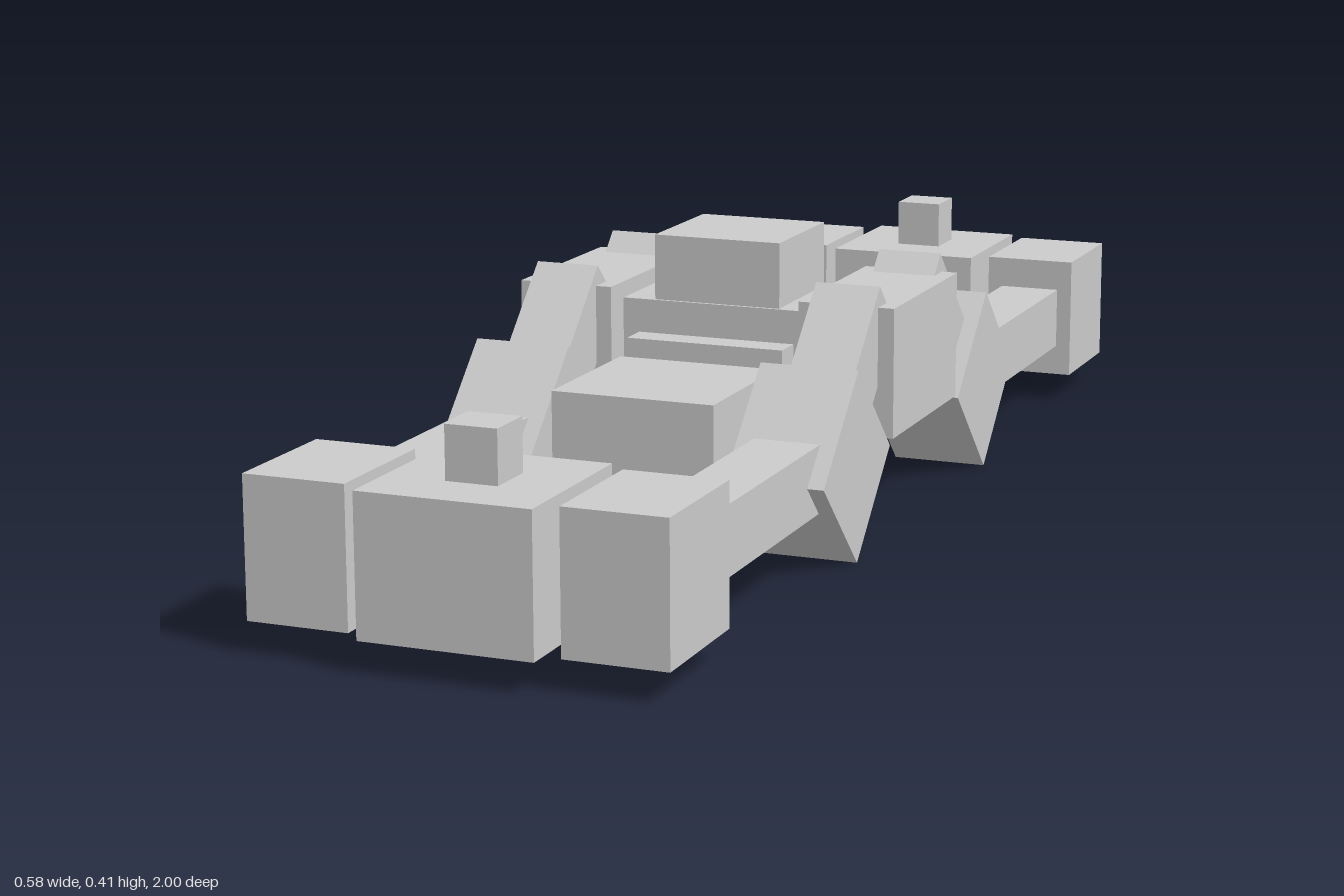
import * as THREE from 'three';

const material = new THREE.MeshStandardMaterial({ color: 0xcccccc, flatShading: true });

// Box of the given size, centred at the given position, tilted about x
function addBox(parent, name, [w, h, d], [x, y, z], tilt = 0) {
  const mesh = new THREE.Mesh(new THREE.BoxGeometry(w, h, d), material);
  mesh.name = name;
  mesh.position.set(x, y, z);
  mesh.rotation.x = tilt;
  parent.add(mesh);
}

export function createModel() {
  const model = new THREE.Group();
  model.name = 'blockVehicle';

  // Central body with crossbar and cabin
  addBox(model, 'body', [0.244, 0.242, 0.292], [0, 0.139, 0]);
  addBox(model, 'crossbar', [0.3, 0.194, 0.2], [0, 0.213, 0]);
  addBox(model, 'cabin', [0.196, 0.194, 0.19], [0, 0.31, 0]);

  // Side blocks beside the body
  for (const side of [-1, 1]) {
    addBox(model, 'sideBlock', [0.145, 0.19, 0.292], [side * 0.2195, 0.239, 0]);
  }

  // Identical assemblies at the front and the back
  for (const end of [1, -1]) {
    const half = new THREE.Group();
    half.name = end > 0 ? 'frontAssembly' : 'backAssembly';
    half.rotation.y = end > 0 ? 0 : Math.PI;
    model.add(half);

    addBox(half, 'innerBlock', [0.244, 0.194, 0.242], [0, 0.14, 0.291]);
    addBox(half, 'endBlock', [0.244, 0.194, 0.242], [0, 0.14, 0.879]);
    addBox(half, 'knob', [0.073, 0.083, 0.073], [0, 0.269, 0.879]);

    for (const side of [-1, 1]) {
      const x = side * 0.2195;
      // Sloping link from the side block down to the tilted joint
      addBox(half, 'link', [0.097, 0.097, 0.22], [x, 0.251, 0.182], Math.PI / 4);
      addBox(half, 'joint', [0.145, 0.195, 0.195], [x, 0.138, 0.297], Math.PI / 4);
      // Level arm out to the end foot
      addBox(half, 'arm', [0.097, 0.097, 0.48], [x, 0.14, 0.56]);
      addBox(half, 'foot', [0.145, 0.194, 0.194], [x, 0.14, 0.878]);
    }
  }
  return model;
}
